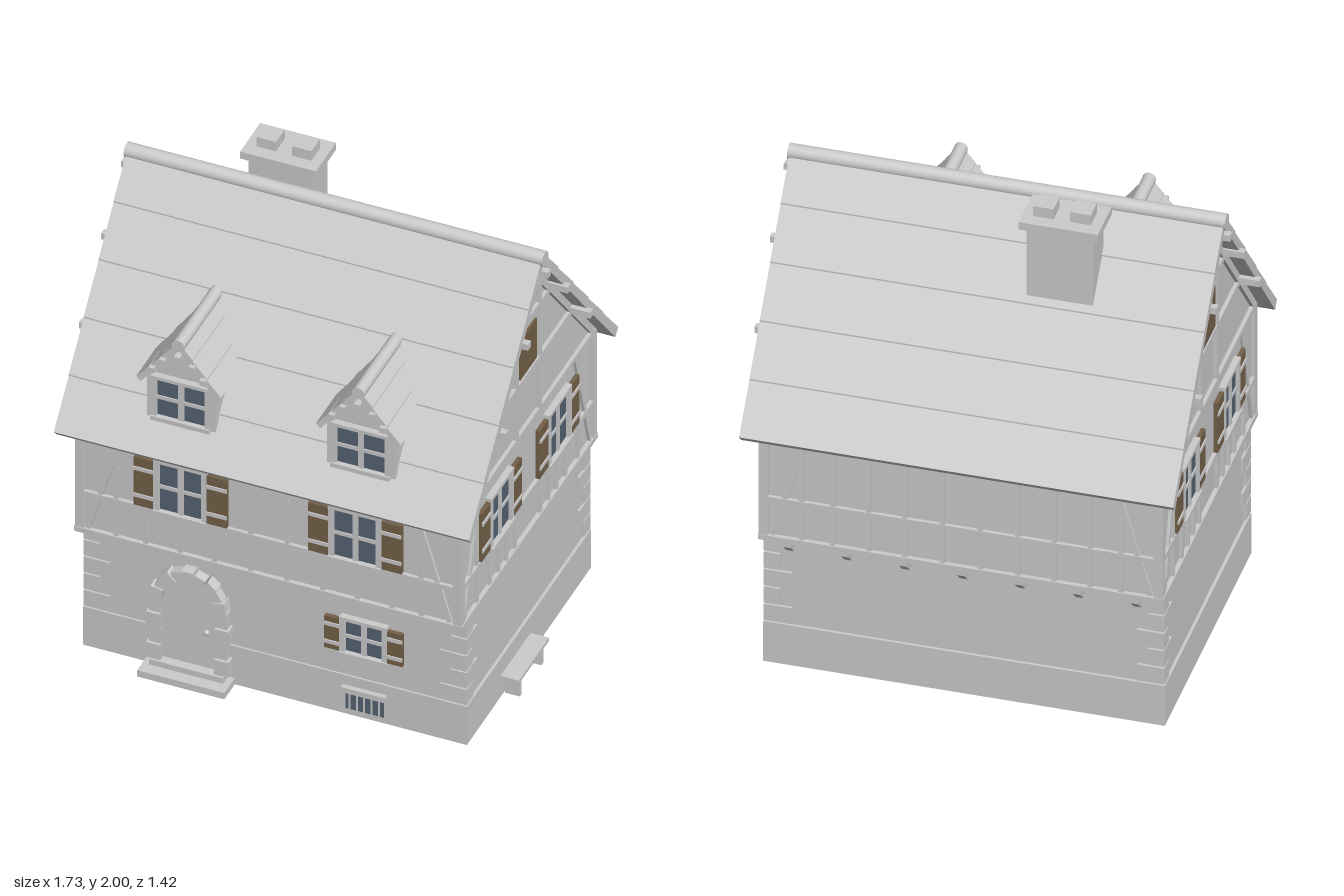
import * as THREE from 'three';

const stone = new THREE.MeshStandardMaterial({ color: 0xcccccc });
stone.name = 'pale grey';
const wood = new THREE.MeshStandardMaterial({ color: 0x75614a });
wood.name = 'shutter brown';
const glass = new THREE.MeshStandardMaterial({ color: 0x566474 });
glass.name = 'window blue';

function add(parent, name, geo, mat, x = 0, y = 0, z = 0) {
  const m = new THREE.Mesh(geo, mat);
  m.name = name;
  m.position.set(x, y, z);
  parent.add(m);
  return m;
}
// Box given by its lower and upper limits on each axis
function box(parent, name, x0, x1, y0, y1, z0, z1, mat = stone) {
  return add(parent, name, new THREE.BoxGeometry(x1 - x0, y1 - y0, z1 - z0), mat,
    (x0 + x1) / 2, (y0 + y1) / 2, (z0 + z1) / 2);
}
function group(parent, name, x = 0, y = 0, z = 0, ry = 0) {
  const g = new THREE.Group();
  g.name = name;
  g.position.set(x, y, z);
  g.rotation.y = ry;
  parent.add(g);
  return g;
}
function extrude(points, depth) {
  const shape = new THREE.Shape(points.map(p => new THREE.Vector2(p[0], p[1])));
  return new THREE.ExtrudeGeometry(shape, { depth, bevelEnabled: false }).translate(0, 0, -depth / 2);
}
// Straight timber between two points of a wall plane
function timber(wall, x0, y0, x1, y1, w = 0.022, proud = 0.015) {
  const len = Math.hypot(x1 - x0, y1 - y0);
  const m = add(wall, 'timber', new THREE.BoxGeometry(len, w, proud * 2), stone, (x0 + x1) / 2, (y0 + y1) / 2, 0);
  m.rotation.z = Math.atan2(y1 - y0, x1 - x0);
}
// Window centred at x, with glazing bars, sill and optional shutters
function windowUnit(wall, x, y0, y1, half, shutter = 0) {
  const g = group(wall, 'window', x), f = half + 0.022, mid = (y0 + y1) / 2;
  box(g, 'glass', -half, half, y0, y1, 0.002, 0.011, glass);
  for (const s of [-1, 1]) {
    box(g, 'jamb', s * (half + 0.011) - 0.011, s * (half + 0.011) + 0.011, y0, y1, 0, 0.024);
    if (!shutter) continue;
    const c = s * (f + shutter / 2), h = shutter / 2;
    box(g, 'shutter', c - h, c + h, y0, y1, 0.004, 0.021, wood);
    for (const t of [0.22, 0.78]) {
      const y = y0 + (y1 - y0) * t;
      box(g, 'shutterBatten', c - h, c + h, y - 0.008, y + 0.008, 0.02, 0.026);
    }
  }
  box(g, 'head', -f, f, y1, y1 + 0.015, 0, 0.026);
  box(g, 'sill', -f, f, y0 - 0.015, y0 + 0.004, 0, 0.032);
  box(g, 'mullion', -0.011, 0.011, y0, y1, 0, 0.018);
  box(g, 'transom', -half, half, mid - 0.008, mid + 0.008, 0, 0.016);
}
// Gabled roof profile with stepped tile courses, running along local z
function roofGeometry(apex, half, eave, thick, courses, lift, length) {
  const s = (apex - eave) / half, n = Math.hypot(s, 1), right = [];
  for (let i = 0; i < courses; i++) {
    const a = half * i / courses, b = half * (i + 1) / courses;
    right.push([a, apex - s * a], [b, apex - s * b + lift]);
  }
  right.push([half - thick * s / n, eave - thick / n], [0, apex - thick * n]);
  const left = right.slice(1, -1).reverse().map(p => [-p[0], p[1]]);
  return extrude([...right, ...left], length);
}

function buildFraming(wall, halfW, studs, windows) {
  timber(wall, -halfW, 0.595, halfW, 0.595, 0.022, 0.018);
  timber(wall, -halfW, 0.77, halfW, 0.77);
  timber(wall, -halfW, 1.1, halfW, 1.1);
  for (const s of [-1, 1]) {
    timber(wall, s * (halfW - 0.018), 0.6, s * (halfW - 0.018), 1.1, 0.036);
    timber(wall, s * (halfW - 0.05), 0.61, s * (halfW - 0.19), 1.09, 0.02, 0.012);
    for (const x of studs) {
      const blocked = windows.some(w => Math.abs(w - x) < 0.18);
      timber(wall, s * x, 0.6, s * x, blocked ? 0.77 : 1.1, 0.018, 0.013);
    }
    for (const x of windows) windowUnit(wall, s * x, 0.785, 1.01, 0.086, 0.082);
  }
}

function buildGable(wall) {
  buildFraming(wall, 0.645, [0.12, 0.2, 0.275, 0.36, 0.48], [0.275]);
  timber(wall, -0.42, 1.345, 0.42, 1.345);
  timber(wall, -0.215, 1.597, 0.215, 1.597);
  for (const s of [-1, 1]) {
    timber(wall, s * 0.11, 1.1, s * 0.11, 1.7);
    timber(wall, s * 0.61, 1.115, 0, 1.85, 0.03);
  }
  box(wall, 'atticHatch', -0.079, 0.079, 1.365, 1.55, 0.004, 0.013, wood);
}

function buildDoor(house) {
  const d = group(house, 'entrance', -0.34, 0, 0.58), spring = 0.345, r = 0.112;
  const pts = [[-r, 0.05], [r, 0.05]];
  for (let i = 0; i <= 16; i++) pts.push([r * Math.cos(Math.PI * i / 16), spring + r * Math.sin(Math.PI * i / 16)]);
  add(d, 'door', extrude(pts, 0.02), stone, 0, 0, 0.002);
  for (const x of [-0.066, -0.022, 0.022, 0.066])
    box(d, 'plankSeam', x - 0.003, x + 0.003, 0.055, spring + Math.sqrt(r * r - x * x) - 0.005, 0, 0.015);
  add(d, 'doorKnob', new THREE.SphereGeometry(0.012, 12, 8), stone, 0.07, 0.225, 0.02);
  // Stone surround
  for (let i = 0; i < 4; i++) {
    const w = i % 2 ? 0.048 : 0.058, y = 0.055 + i * 0.0725;
    for (const s of [-1, 1]) {
      const c = s * (r - 0.002 + w / 2);
      box(d, 'jambStone', c - w / 2, c + w / 2, y, y + 0.069, -0.01, i % 2 ? 0.032 : 0.04);
    }
  }
  for (let i = 0; i < 9; i++) {
    const a = Math.PI * (i + 0.5) / 9, w = i % 2 ? 0.042 : 0.052, c = r - 0.008 + w / 2;
    const v = add(d, 'archStone', new THREE.BoxGeometry(w, 0.046, 0.05), stone,
      c * Math.cos(a), spring + c * Math.sin(a), i % 2 ? 0.008 : 0.014);
    v.rotation.z = a;
  }
  box(d, 'lowerStep', -0.177, 0.177, 0, 0.03, 0, 0.1);
  box(d, 'upperStep', -0.15, 0.15, 0.03, 0.055, 0, 0.05);
}

function buildDormer(house, x) {
  const d = group(house, 'dormer', x);
  add(d, 'dormerWall', extrude([[-0.135, 1.19], [0.135, 1.19], [0.135, 1.395], [0, 1.56], [-0.135, 1.395]], 0.3), stone, 0, 0, 0.45);
  add(d, 'dormerRoof', roofGeometry(1.595, 0.172, 1.38, 0.022, 3, 0.005, 0.385), stone, 0, 0, 0.4475);
  add(d, 'dormerRidge', new THREE.CylinderGeometry(0.026, 0.026, 0.38, 16).rotateX(Math.PI / 2), stone, 0, 1.58, 0.455);
  for (const [px, py] of [[-0.104, 1.445], [-0.06, 1.495], [0, 1.525], [0.06, 1.495], [0.104, 1.445]])
    box(d, 'dormerPurlin', px - 0.012, px + 0.012, py - 0.012, py + 0.012, 0.55, 0.658);
  const front = group(d, 'dormerFront', 0, 0, 0.6);
  windowUnit(front, 0, 1.205, 1.38, 0.098);
  timber(front, -0.128, 1.195, -0.128, 1.4, 0.02);
  timber(front, 0.128, 1.195, 0.128, 1.4, 0.02);
}

export function createModel() {
  const house = new THREE.Group();
  house.name = 'house';

  // Masonry ground floor
  box(house, 'plinth', -0.78, 0.78, 0, 0.18, -0.6, 0.58);
  box(house, 'groundFloor', -0.768, 0.768, 0.18, 0.6, -0.588, 0.572);
  for (const sx of [-1, 1]) for (const sz of [-1, 1]) for (let i = 0; i < 5; i++) {
    const lx = i % 2 ? 0.065 : 0.108, lz = i % 2 ? 0.105 : 0.062;
    const ez = sz > 0 ? 0.58 : -0.6;
    add(house, 'cornerStone', new THREE.BoxGeometry(lx, 0.072, lz), stone,
      sx * (0.778 - lx / 2), 0.223 + i * 0.079, ez - sz * lz / 2);
  }

  // Upper floor and attic walls
  const body = [[-0.63, 0.585], [0.63, 0.585], [0.63, 1.1], [0, 1.868], [-0.63, 1.1]];
  add(house, 'upperWalls', extrude(body, 1.54).rotateY(Math.PI / 2), stone);
  const studs = [0.074, 0.22, 0.36, 0.5, 0.62];
  buildFraming(group(house, 'frontFraming', 0, 0, 0.63), 0.785, studs, [0.355]);
  buildFraming(group(house, 'backFraming', 0, 0, -0.63, Math.PI), 0.785, studs, []);
  buildGable(group(house, 'leftGable', 0.77, 0, 0, Math.PI / 2));
  buildGable(group(house, 'rightGable', -0.77, 0, 0, -Math.PI / 2));

  // Brackets below the overhang
  for (let i = -3; i <= 3; i++) for (const s of [-1, 1]) {
    const wall = s > 0 ? 0.57 : 0.586;
    const geo = extrude([[wall, 0.525], [wall + 0.02, 0.525], [0.645, 0.565], [0.645, 0.586], [wall, 0.586]], 0.03);
    add(house, 'bracket', geo.rotateY(-s * Math.PI / 2), stone, i * 0.225);
  }

  // Roof
  add(house, 'roof', roofGeometry(1.93, 0.71, 1.07, 0.035, 5, 0.007, 1.686).rotateY(Math.PI / 2), stone);
  add(house, 'ridgeTile', new THREE.CylinderGeometry(0.031, 0.031, 1.7, 20).rotateZ(Math.PI / 2), stone, 0, 1.905, 0);
  for (const [z, y] of [[0, 1.84], [0.19, 1.635], [-0.19, 1.635], [0.402, 1.365], [-0.402, 1.365]])
    box(house, 'purlin', -0.867, 0.867, y - 0.014, y + 0.014, z - 0.014, z + 0.014);
  buildDormer(house, -0.366);
  buildDormer(house, 0.365);

  // Chimney
  box(house, 'chimney', -0.405, -0.147, 1.5, 1.925, -0.265, -0.117);
  box(house, 'chimneyCap', -0.43, -0.122, 1.922, 1.955, -0.285, -0.095);
  for (const x of [-0.347, -0.203]) box(house, 'chimneyPot', x - 0.04, x + 0.04, 1.95, 2, -0.231, -0.148);

  // Ground floor details
  buildDoor(house);
  windowUnit(group(house, 'groundWindow', 0, 0, 0.574), 0.365, 0.3, 0.45, 0.075, 0.062);
  const cellar = group(house, 'cellarWindow', 0.366, 0, 0.58);
  box(cellar, 'cellarGlass', -0.078, 0.078, 0.03, 0.112, -0.003, 0.005, glass);
  box(cellar, 'cellarLintel', -0.09, 0.09, 0.112, 0.136, -0.01, 0.02);
  for (let i = -2; i <= 2; i++) box(cellar, 'cellarBar', i * 0.03 - 0.003, i * 0.03 + 0.003, 0.03, 0.112, 0, 0.011);

  // Side bench
  const bench = group(house, 'bench');
  box(bench, 'benchSeat', 0.775, 0.855, 0.085, 0.1, -0.025, 0.262);
  for (const z of [0.015, 0.222]) box(bench, 'benchLeg', 0.785, 0.845, 0, 0.086, z - 0.008, z + 0.008);

  return house;
}
